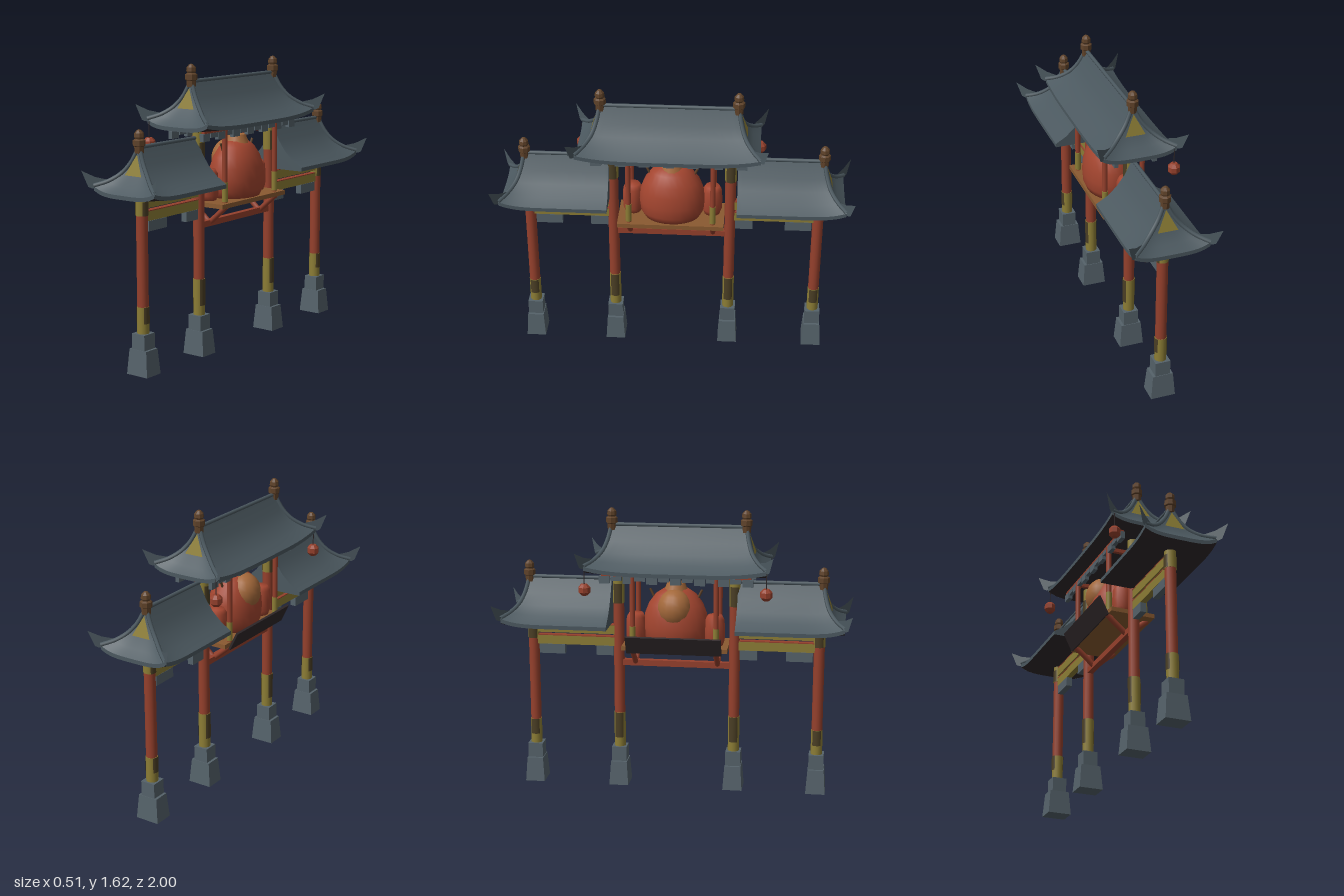
import * as THREE from 'three';

const mat = (name, color, both) => new THREE.MeshStandardMaterial({ name, color, side: both ? THREE.DoubleSide : THREE.FrontSide });

// Roof section: half width, height (ridge to eave), upturn at the corners, flare of the gable end
const PX = [0, 0.045, 0.09, 0.145, 0.205];
const PY = [1.53, 1.44, 1.378, 1.328, 1.292];
const LIFT = [0, 0, 0.008, 0.018, 0.03];
const FLARE = [0, 0.02, 0.043, 0.082, 0.127];
const RIM = 0.022;

// Surface from a rule f(row, column) -> [x, y, z]
function grid(rows, cols, f) {
  const pos = [], idx = [];
  for (let r = 0; r <= rows; r++) for (let c = 0; c <= cols; c++) {
    pos.push(...f(r, c / cols));
    if (r < rows && c < cols) {
      const a = r * (cols + 1) + c, b = a + cols + 1;
      idx.push(a, b, a + 1, b, b + 1, a + 1);
    }
  }
  const g = new THREE.BufferGeometry();
  g.setAttribute('position', new THREE.Float32BufferAttribute(pos, 3));
  g.setIndex(idx);
  g.computeVertexNormals();
  return g;
}

export function createModel() {
  const M = {
    slate: mat('slate', 0x4b585f, true),
    stone: mat('stone', 0x55626a),
    red: mat('red paint', 0x95402c),
    robe: mat('robe red', 0xa3452f),
    gold: mat('gold paint', 0x8c7d35, true),
    olive: mat('dark pattern', 0x4a3e24, true),
    bronze: mat('bronze', 0x5f4229),
    plank: mat('plank', 0x8a5a30),
    tan: mat('tan', 0xa3683a),
    shade: mat('dark timber', 0x30282a, true),
  };
  const model = new THREE.Group();
  const add = (parent, name, geo, m, x = 0, y = 0, z = 0) => {
    const mesh = new THREE.Mesh(geo, m);
    mesh.name = name;
    mesh.position.set(x, y, z);
    parent.add(mesh);
    return mesh;
  };
  const box = (p, name, m, w, h, d, x, y, z) => add(p, name, new THREE.BoxGeometry(w, h, d), m, x, y, z);
  const group = (name) => {
    const g = new THREE.Group();
    g.name = name;
    model.add(g);
    return g;
  };
  // Round bar between two points
  const rod = (p, name, m, a, b, r, n = 8) => {
    const A = new THREE.Vector3(...a), B = new THREE.Vector3(...b), d = B.clone().sub(A);
    const mesh = add(p, name, new THREE.CylinderGeometry(r, r, d.length(), n), m);
    mesh.position.copy(A).add(B).multiplyScalar(0.5);
    mesh.quaternion.setFromUnitVectors(new THREE.Vector3(0, 1, 0), d.normalize());
    return mesh;
  };

  // Curved roof between two ends; flare -1 or 1 makes a gabled end, 0 a plain cut
  function roof(name, dy, ends) {
    const g = group(name);
    const endZ = (e, t) => e.z + e.flare * FLARE[t];
    const rise = (s) => ends[s < 0 ? 0 : 1].flare ? s ** 4 : 0;
    const zAt = (t, s) => THREE.MathUtils.lerp(endZ(ends[0], t), endZ(ends[1], t), (s + 1) / 2);
    for (const side of [-1, 1]) {
      const slope = (t, c) => {
        const s = c * 2 - 1;
        return [side * PX[t], PY[t] + LIFT[t] * rise(s) + dy, zAt(t, s)];
      };
      add(g, 'roofSlope', grid(4, 20, slope), M.slate);
      add(g, 'eaveRim', grid(1, 20, (r, c) => {
        const p = slope(4, c);
        p[1] -= r * RIM;
        return p;
      }), M.slate);
    }
    add(g, 'roofUnderside', grid(8, 20, (r, c) => {
      const u = r / 4 - 1, s = c * 2 - 1;
      return [u * PX[4], PY[4] - RIM + LIFT[4] * rise(s) * u ** 4 + dy, zAt(4, s)];
    }), M.shade);
    rod(g, 'ridge', M.slate, [0, 1.53 + dy, ends[0].z], [0, 1.53 + dy, ends[1].z], 0.011);

    for (const e of ends) {
      const f = e.flare;
      const cap = (t, c) => {
        const u = c * 2 - 1;
        return [u * PX[t], PY[t] + (f ? LIFT[t] * u ** 4 : 0) + dy, endZ(e, t)];
      };
      add(g, 'roofEnd', grid(4, 12, cap), M.slate);
      add(g, 'endRim', grid(1, 12, (r, c) => {
        const p = cap(4, c);
        p[1] -= r * RIM;
        return p;
      }), M.slate);
      if (!f) continue;
      add(g, 'gablePanel', grid(1, 1, (r, c) =>
        [(c * 2 - 1) * r * 0.056, 1.495 - r * 0.11 + dy, e.z + f * (0.018 + r * 0.034)]), M.gold);
      for (const side of [-1, 1]) {
        const hip = PX.map((x, t) => new THREE.Vector3(side * x, PY[t] + LIFT[t] + 0.004 + dy, endZ(e, t)));
        add(g, 'hipRidge', new THREE.TubeGeometry(new THREE.CatmullRomCurve3(hip), 16, 0.012, 6), M.slate);
        // Upswept corner blade
        const blade = [[[0.14, 1.355], [0.2, 1.31]], [[0.2, 1.372], [0.215, 1.312]], [[0.255, 1.405], [0.228, 1.32]]];
        add(g, 'cornerBlade', grid(2, 1, (r, c) => {
          const [x, y] = blade[r][c];
          return [side * x, y + dy, e.z + f * (FLARE[4] + (x - 0.205) * 0.8)];
        }), M.slate);
      }
      const pts = [[0, 1.5], [0.024, 1.5], [0.026, 1.535], [0.033, 1.54], [0.033, 1.568], [0.022, 1.575],
        [0.027, 1.585], [0.025, 1.605], [0.012, 1.62], [0, 1.625]].map((p) => new THREE.Vector2(...p));
      const fin = new THREE.LatheGeometry(pts, 8).toNonIndexed();
      fin.computeVertexNormals();
      add(g, 'finial', fin, M.bronze, 0, dy, e.z);
    }
  }
  roof('upperRoof', 0, [{ z: -0.35, flare: -1 }, { z: 0.407, flare: 1 }]);
  roof('frontLowerRoof', -0.31, [{ z: 0.365, flare: 0 }, { z: 0.84, flare: 1 }]);
  roof('backLowerRoof', -0.31, [{ z: -0.83, flare: -1 }, { z: -0.355, flare: 0 }]);

  // Posts on stone footings with painted bands
  function post(z, top, bandTop, capLow) {
    const g = group('post');
    g.position.z = z;
    const foot = new THREE.CylinderGeometry(0.058 * Math.SQRT2, 0.07 * Math.SQRT2, 0.14, 4).rotateY(Math.PI / 4).scale(1, 1, 0.8).toNonIndexed();
    foot.computeVertexNormals();
    add(g, 'footing', foot, M.stone, 0, 0.07, 0);
    box(g, 'plinth', M.stone, 0.086, 0.086, 0.086, 0, 0.182, 0);
    rod(g, 'shaft', M.red, [0, 0.22, 0], [0, top, 0], 0.031, 14);
    rod(g, 'lowerBand', M.gold, [0, 0.224, 0], [0, bandTop, 0], 0.033, 14);
    rod(g, 'upperBand', M.gold, [0, capLow, 0], [0, top, 0], 0.033, 14);
    // Dark ornament on the two broad sides
    for (const [a, b] of [[0.28, bandTop], [capLow, capLow + (top - capLow) * 0.6]])
      for (const side of [-1, 1]) {
        const start = side * Math.PI / 2 - 0.75;
        add(g, 'bandOrnament', new THREE.CylinderGeometry(0.035, 0.035, b - a, 8, 1, true, start, 1.5), M.olive, 0, (a + b) / 2, 0);
      }
  }
  post(0.826, 0.985, 0.37, 0.86);
  post(-0.815, 0.985, 0.37, 0.86);
  post(0.348, 1.27, 0.43, 1.08);
  post(-0.316, 1.27, 0.43, 1.08);

  // Tie beams of the two side bays with bracket blocks below
  for (const [a, b] of [[0.348, 0.826], [-0.316, -0.815]]) {
    const g = group('sideBayBeams'), mid = (a + b) / 2, len = Math.abs(b - a), s = Math.sign(b - a);
    for (const y of [0.922, 0.853]) {
      box(g, 'tieBeam', M.gold, 0.035, 0.053, len, 0, y, mid);
      box(g, 'beamTrim', M.red, 0.037, 0.005, len, 0, y + 0.027, mid);
    }
    box(g, 'outerBracket', M.stone, 0.035, 0.055, 0.15, 0, 0.798, b - s * 0.11);
    box(g, 'innerBracket', M.stone, 0.035, 0.055, 0.1, 0, 0.798, a + s * 0.08);
  }

  // Platform of the middle bay
  const deck = group('platform');
  box(deck, 'deck', M.plank, 0.26, 0.025, 0.6, 0.01, 0.842, 0.016);
  box(deck, 'lowerBeam', M.red, 0.035, 0.034, 0.64, 0, 0.732, 0.016);
  const rail = box(deck, 'slantedBoard', M.shade, 0.012, 0.115, 0.54, -0.152, 0.872, 0.016);
  rail.rotation.z = 0.45;
  for (const z of [0.252, -0.22]) {
    for (const side of [-1, 1]) {
      const x = side * 0.108;
      rod(deck, 'strut', M.red, [side * 0.005, 0.735, z], [side * 0.12, 0.835, z], 0.016);
      rod(deck, 'smallPost', M.red, [x, 0.85, z], [x, 1.265, z], 0.015, 10);
      rod(deck, 'smallPostBand', M.gold, [x, 0.86, z], [x, 0.97, z], 0.017, 10);
    }
    box(deck, 'crossBeam', M.red, 0.23, 0.022, 0.022, 0, 1.245, z);
  }

  // Scalloped valance under the upper eaves
  const valance = group('valance');
  for (const side of [-1, 1]) {
    box(valance, 'valanceBeam', M.red, 0.02, 0.018, 0.84, side * 0.108, 1.262, 0.025);
    for (let i = 0; i < 13; i++) {
      const h = i % 2 ? 0.026 : 0.042;
      box(valance, 'valanceBlock', M.stone, 0.024, h, 0.06, side * 0.108, 1.256 - h / 2, 0.025 + (i - 6) * 0.067);
    }
  }

  // Seated round form with a robe, bare chest and head
  const figure = group('seatedFigure');
  figure.position.set(0.01, 0.855, 0.012);
  const robe = [[0, 0], [0.155, 0], [0.178, 0.04], [0.185, 0.1], [0.178, 0.17], [0.155, 0.23], [0.115, 0.285], [0.07, 0.315], [0, 0.32]];
  add(figure, 'robe', new THREE.LatheGeometry(robe.map((p) => new THREE.Vector2(...p)), 24).scale(0.76, 1, 1), M.robe);
  add(figure, 'chest', new THREE.SphereGeometry(0.1, 16, 12).scale(0.95, 1.1, 1), M.tan, -0.06, 0.21, 0);
  add(figure, 'head', new THREE.CylinderGeometry(0.05, 0.07, 0.05, 14), M.tan, 0, 0.325, 0);
  for (const side of [-1, 1]) {
    const drum = [[0, 0], [0.045, 0], [0.056, 0.03], [0.058, 0.09], [0.054, 0.15], [0.04, 0.175], [0, 0.178]];
    add(figure, 'sideDrum', new THREE.LatheGeometry(drum.map((p) => new THREE.Vector2(...p)), 14), M.robe, -0.03, 0, side * 0.225);
    rod(figure, 'stick', M.bronze, [0, 0.24, side * 0.115], [0, 0.31, side * 0.148], 0.007, 6);
  }

  // Lanterns hanging from the right-hand corners of the upper roof
  for (const z of [0.535, -0.475]) {
    const g = group('lantern');
    rod(g, 'cord', M.shade, [-0.192, 1.21, z], [-0.192, 1.31, z], 0.003, 5);
    const body = [[0, -0.032], [0.018, -0.032], [0.034, -0.014], [0.034, 0.014], [0.018, 0.032], [0, 0.032]];
    const geo = new THREE.LatheGeometry(body.map((p) => new THREE.Vector2(...p)), 8).toNonIndexed();
    geo.computeVertexNormals();
    add(g, 'lanternBody', geo, M.red, -0.192, 1.192, z);
  }
  return model;
}
